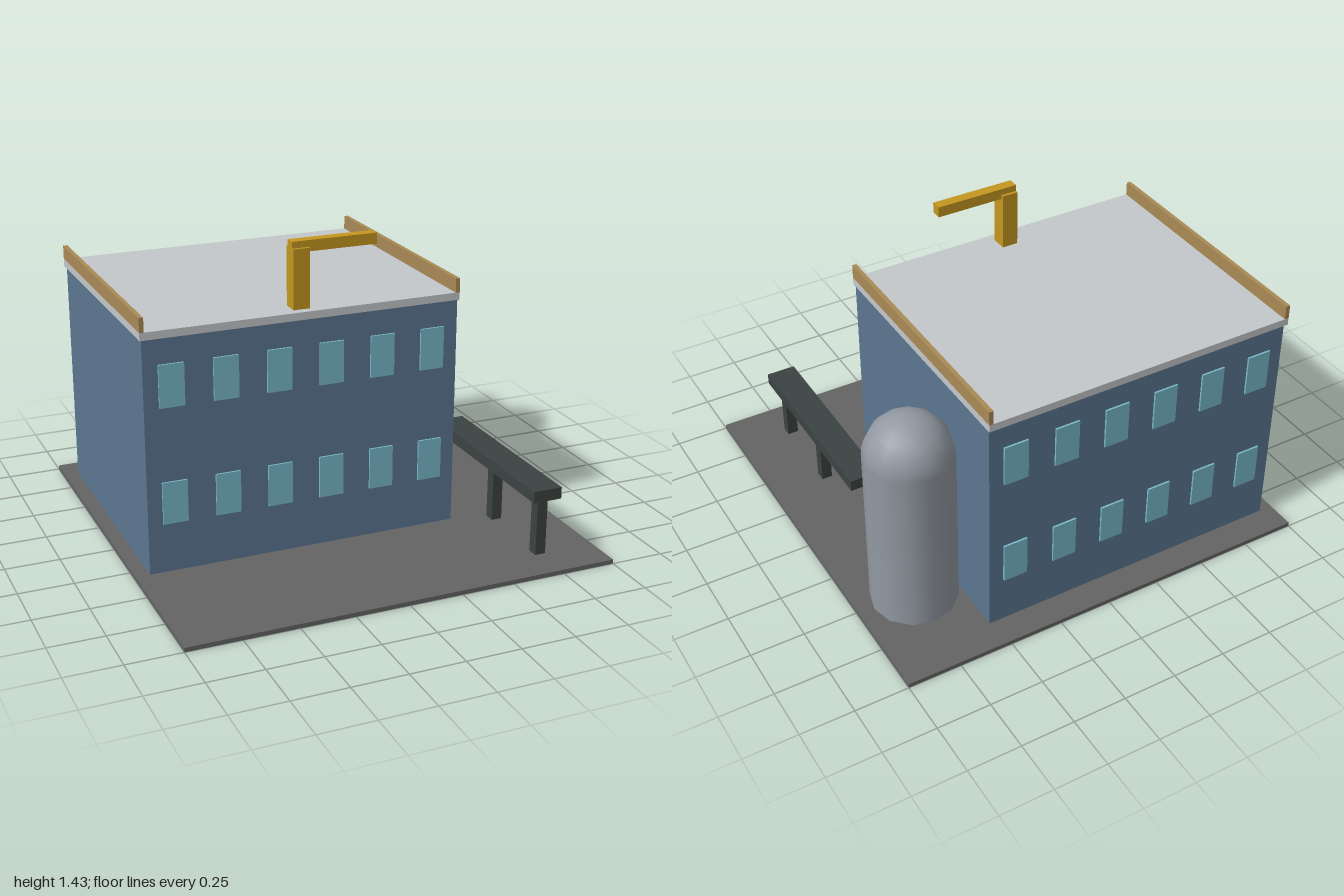
import * as THREE from 'three';

const mat = (name, color) => {
  const m = new THREE.MeshStandardMaterial({ color });
  m.name = name;
  return m;
};

export function createModel() {
  const model = new THREE.Group();
  model.name = 'factory';

  const paving = mat('paving grey', 0x646464);
  const wall = mat('wall blue', 0x5b7690);
  const roofing = mat('roof pale grey', 0xc4c8cb);
  const trim = mat('parapet tan', 0xa88a55);
  const glass = mat('window cyan', 0x78b9cb);
  const steel = mat('silo grey', 0x9299a2);
  const dark = mat('conveyor dark', 0x3b4342);
  const yellow = mat('crane yellow', 0xc49720);

  // Box given by its minimum and maximum corners
  const box = (name, m, [x0, y0, z0], [x1, y1, z1], parent = model) => {
    const mesh = new THREE.Mesh(new THREE.BoxGeometry(x1 - x0, y1 - y0, z1 - z0), m);
    mesh.position.set((x0 + x1) / 2, (y0 + y1) / 2, (z0 + z1) / 2);
    mesh.name = name;
    parent.add(mesh);
  };

  // Ground slab, main block and roof
  box('groundSlab', paving, [-1, 0, -1], [1, 0.02, 1]);
  box('mainBlock', wall, [-0.935, 0.02, -0.864], [0.533, 1.095, 0.338]);
  box('roofSlab', roofing, [-0.944, 1.095, -0.878], [0.54, 1.13, 0.346]);
  for (const x of [-0.944, 0.52])
    box('parapet', trim, [x, 1.13, -0.878], [x + 0.02, 1.195, 0.346]);

  // Two rows of six windows on the front and the back
  const windows = new THREE.Group();
  windows.name = 'windows';
  model.add(windows);
  for (const z of [0.338, -0.873])
    for (const y of [0.25, 0.785])
      for (let i = 0; i < 6; i++) {
        const x = -0.811 + i * 0.244;
        box('window', glass, [x - 0.057, y, z], [x + 0.057, y + 0.194, z + 0.009], windows);
      }

  // Domed silo
  const silo = new THREE.Group();
  silo.name = 'silo';
  silo.position.set(0.73, 0, -0.535);
  const body = new THREE.Mesh(new THREE.CylinderGeometry(0.198, 0.198, 0.8, 12), steel);
  body.position.y = 0.42;
  body.name = 'siloBody';
  const dome = new THREE.Mesh(
    new THREE.SphereGeometry(0.198, 12, 8, 0, Math.PI * 2, 0, Math.PI / 2), steel);
  dome.position.y = 0.82;
  dome.name = 'siloDome';
  silo.add(body, dome);
  model.add(silo);

  // Conveyor on two legs
  box('conveyorBeam', dark, [0.66, 0.296, -0.068], [0.798, 0.35, 0.865]);
  for (const z of [0.4, 0.8])
    box('conveyorLeg', dark, [0.704, 0.02, z - 0.026], [0.754, 0.288, z + 0.026]);

  // Roof crane
  box('cranePost', yellow, [-0.242, 1.13, 0.228], [-0.165, 1.4, 0.306]);
  box('craneArm', yellow, [-0.242, 1.38, 0.242], [0.155, 1.43, 0.292]);

  return model;
}
